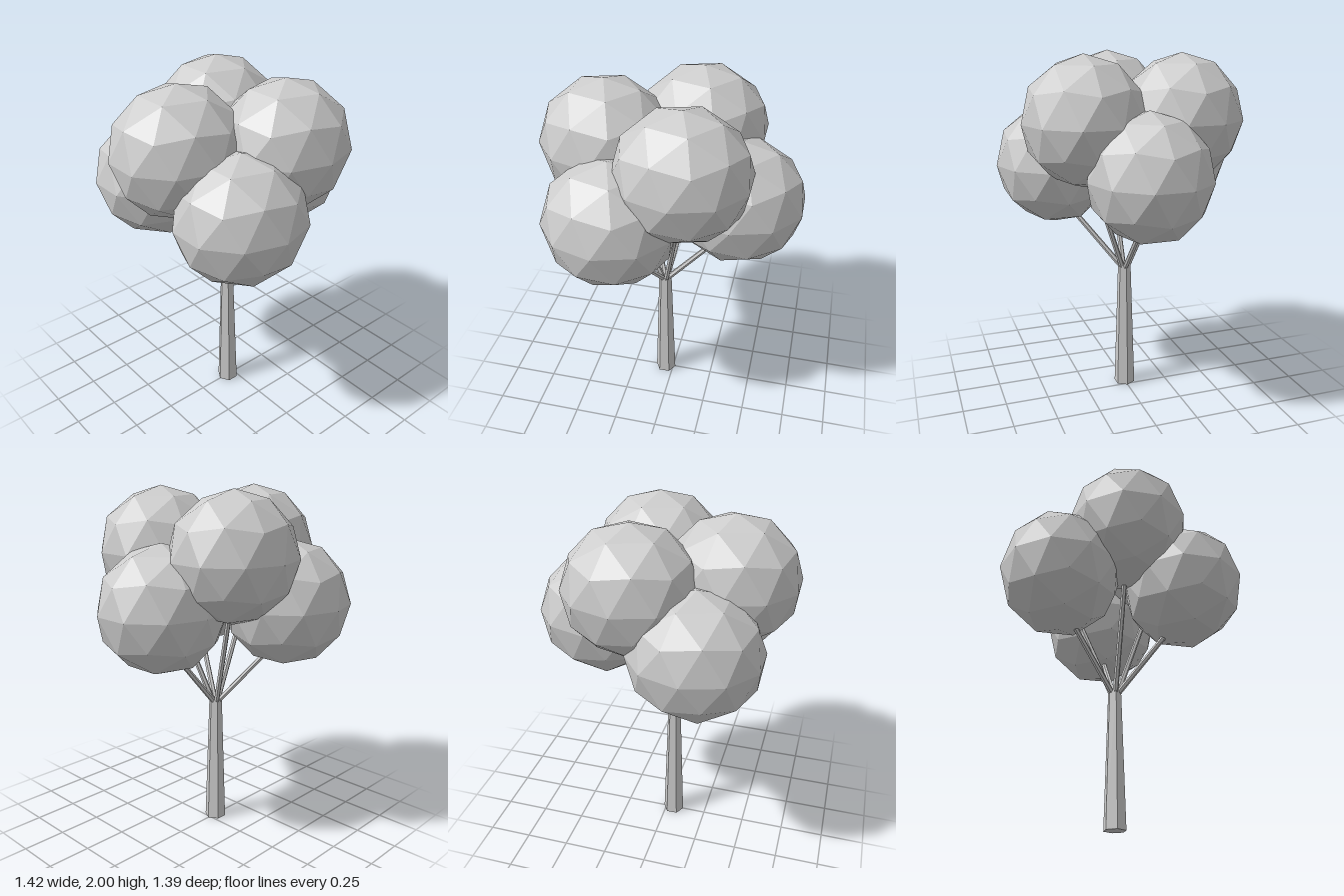
import * as THREE from 'three';

export function createModel() {
  const tree = new THREE.Group();
  tree.name = 'tree';
  const grey = new THREE.MeshStandardMaterial({ color: 0xcccccc, flatShading: true });
  grey.name = 'plain grey';

  const trunkX = -0.048, trunkTop = 0.77;

  function add(name, geometry) {
    const mesh = new THREE.Mesh(geometry, grey);
    mesh.name = name;
    tree.add(mesh);
    return mesh;
  }

  // Tapered six-sided trunk, corners on the x axis
  const trunk = add('trunk', new THREE.CylinderGeometry(0.038, 0.0625, trunkTop, 6, 1, false, Math.PI / 6));
  trunk.position.set(trunkX, trunkTop / 2, 0);

  // Faceted ball with a corner pointing up, slightly wider in x than in z
  const ball = new THREE.IcosahedronGeometry(1, 1);
  ball.rotateZ(-Math.atan(2 / (1 + Math.sqrt(5))));
  ball.scale(0.365, 0.352, 0.339);
  ball.computeVertexNormals();

  // Thin branch between two points
  function branch(from, to) {
    const dir = to.clone().sub(from);
    const mesh = add('branch', new THREE.CylinderGeometry(0.014, 0.016, dir.length(), 6));
    mesh.position.copy(from).addScaledVector(dir, 0.5);
    mesh.quaternion.setFromUnitVectors(new THREE.Vector3(0, 1, 0), dir.normalize());
  }

  // Two tiers of three foliage balls, each held by a branch
  const foliage = [
    [0.363, 1.375, 0], [-0.25, 1.375, 0.356], [-0.25, 1.375, -0.356],
    [-0.362, 1.648, 0], [0.11, 1.648, 0.275], [0.11, 1.648, -0.275],
  ];
  for (const [x, y, z] of foliage) {
    add('foliage', ball).position.set(x, y, z);
    const out = new THREE.Vector3(x - trunkX, 0, z).setLength(0.02);
    const start = new THREE.Vector3(trunkX, trunkTop - 0.01, 0).add(out);
    branch(start, new THREE.Vector3(x, y - 0.17, z));
  }

  return tree;
}
